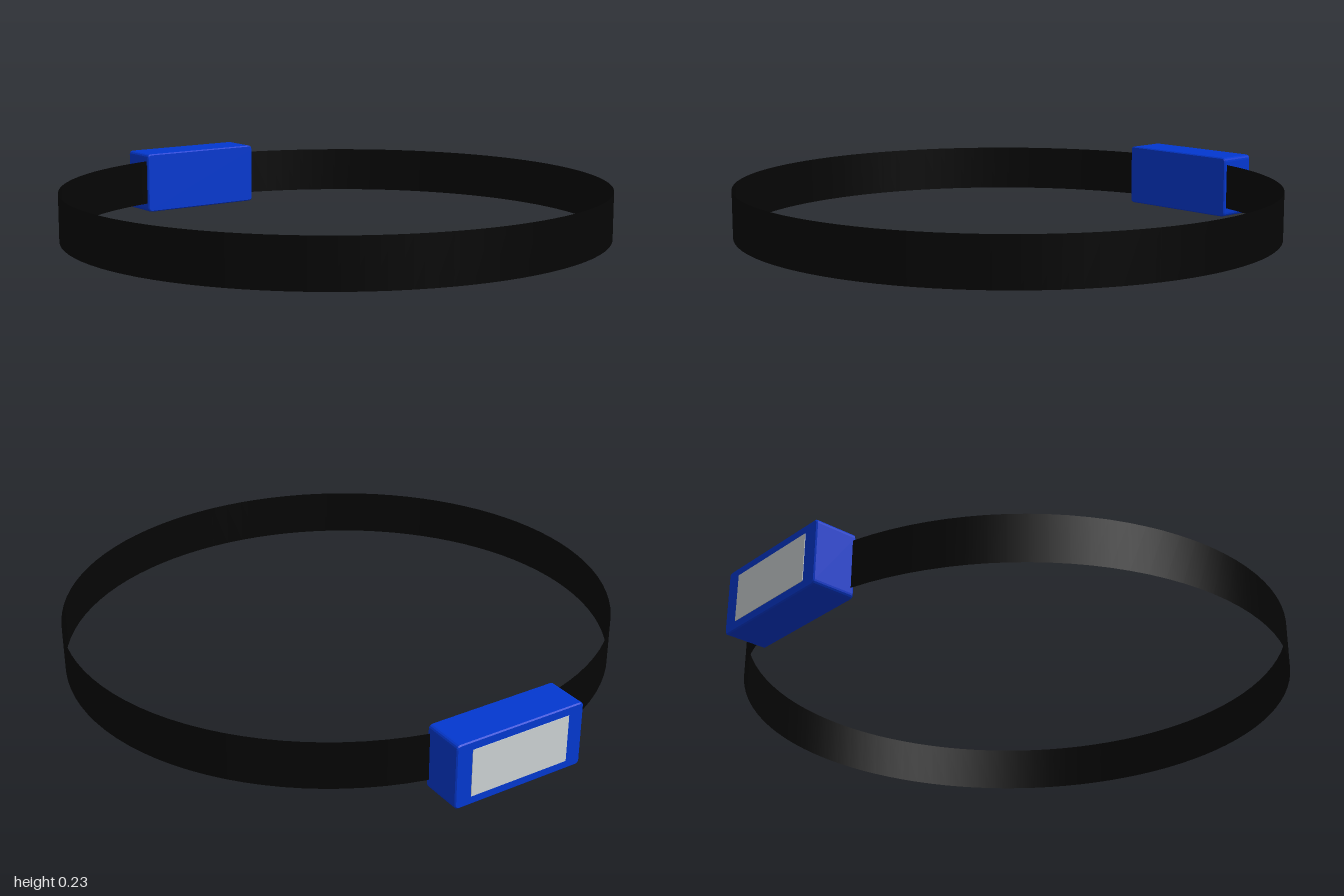
import * as THREE from 'three';

// Rounded rectangle outline centred on the origin
function roundedRect(w, h, r) {
  const x = w / 2, y = h / 2;
  const s = new THREE.Shape();
  s.moveTo(-x + r, -y);
  s.lineTo(x - r, -y);
  s.quadraticCurveTo(x, -y, x, -y + r);
  s.lineTo(x, y - r);
  s.quadraticCurveTo(x, y, x - r, y);
  s.lineTo(-x + r, y);
  s.quadraticCurveTo(-x, y, -x, y - r);
  s.lineTo(-x, -y + r);
  s.quadraticCurveTo(-x, -y, -x + r, -y);
  return s;
}

export function createModel() {
  const group = new THREE.Group();
  const material = (name, color, side = THREE.FrontSide) => {
    const m = new THREE.MeshStandardMaterial({ color, side });
    m.name = name;
    return m;
  };
  const black = material('black strap', 0x050505, THREE.DoubleSide);
  const blue = material('blue casing', 0x0338d0);
  const grey = material('grey screen', 0xccd2d4);

  const add = (name, geometry, mat, x, y, z) => {
    const mesh = new THREE.Mesh(geometry, mat);
    mesh.name = name;
    mesh.position.set(x, y, z);
    group.add(mesh);
    return mesh;
  };

  const midY = 0.114;

  // Thin, slightly oval strap running through the casing
  const strap = new THREE.CylinderGeometry(0.97, 0.97, 0.167, 96, 1, true);
  strap.scale(1, 1, 0.945 / 0.97);
  add('strap', strap, black, 0, 0.117, 0.055);

  // Casing at the back: rounded corners and a fine bevel round both faces
  const bevel = 0.004;
  const casing = new THREE.ExtrudeGeometry(roundedRect(0.484 - 2 * bevel, 0.227 - 2 * bevel, 0.012), {
    depth: 0.15 - 2 * bevel,
    bevelThickness: bevel,
    bevelSize: bevel,
    bevelSegments: 1,
    curveSegments: 4,
  });
  add('casing', casing, blue, 0, midY, -0.998 + bevel);

  // Screen plate on the outward face
  add('screen', new THREE.BoxGeometry(0.368, 0.166, 0.006), grey, 0, midY, -0.997);

  return group;
}
